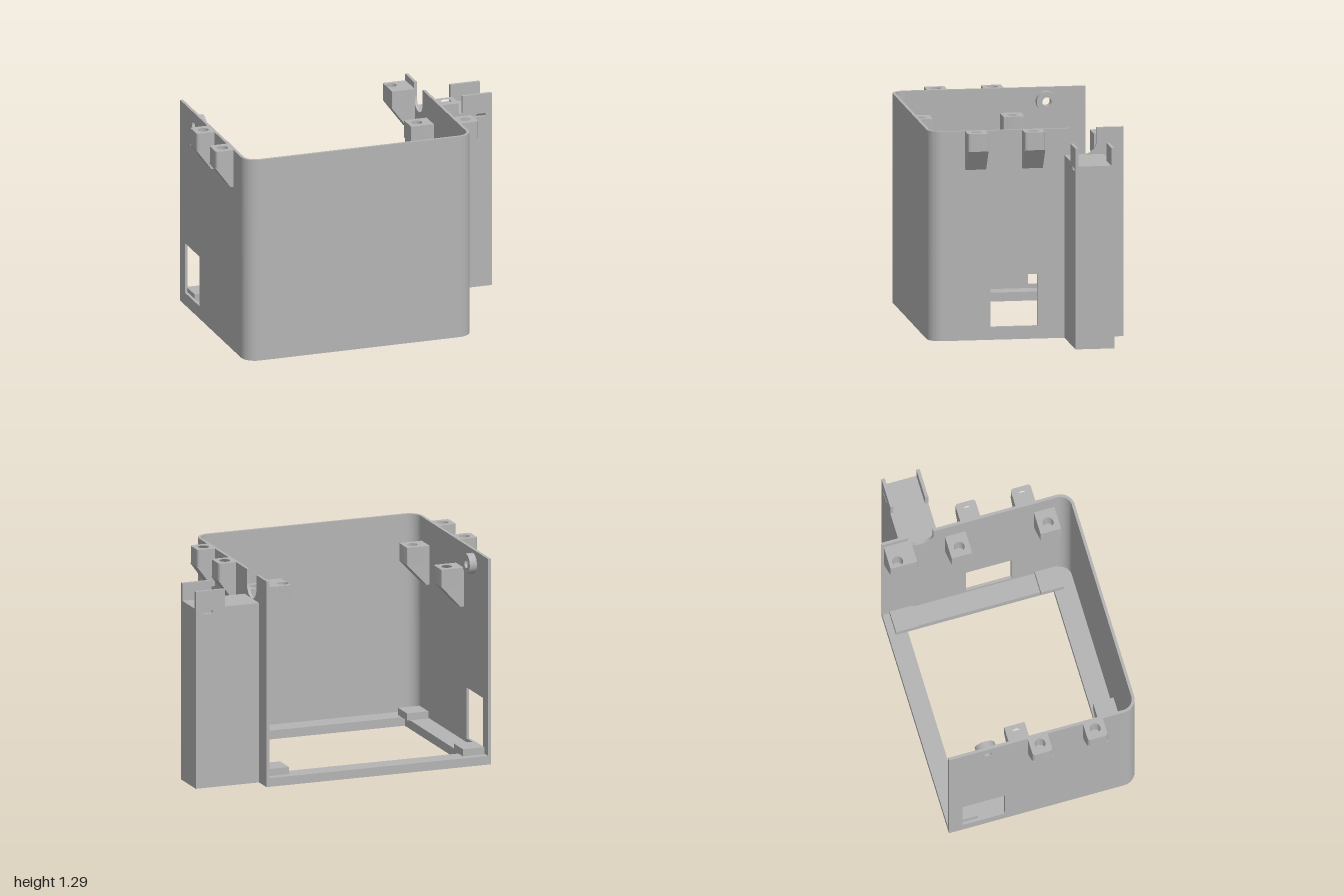
import * as THREE from 'three';
import { toCreasedNormals } from 'three/addons/utils/BufferGeometryUtils.js';

const X0 = -0.885, X1 = 0.585, CX = -0.15, ZB = 0.6, H = 1.295, T = 0.018, R = 0.09;
const BASE = 0.055;

export function createModel() {
  const model = new THREE.Group();
  model.name = 'enclosure';
  const grey = new THREE.MeshStandardMaterial({ color: 0xb4b4b4 });
  grey.name = 'plain grey plastic';

  const add = (name, geometry, parent = model) => {
    const mesh = new THREE.Mesh(toCreasedNormals(geometry, 0.5), grey);
    mesh.name = name;
    parent.add(mesh);
    return mesh;
  };
  const box = (name, x0, x1, y0, y1, z0, z1, parent) => {
    const g = new THREE.BoxGeometry(x1 - x0, y1 - y0, z1 - z0);
    g.translate((x0 + x1) / 2, (y0 + y1) / 2, (z0 + z1) / 2);
    return add(name, g, parent);
  };
  const extrude = (shape, depth) =>
    new THREE.ExtrudeGeometry(shape, { depth, bevelEnabled: false, curveSegments: 12 });
  // plan shape (x, -z) raised from y0 to y1
  const raise = (shape, y0, y1) => extrude(shape, y1 - y0).rotateX(-Math.PI / 2).translate(0, y0, 0);
  // side shape (z, y) with its outermost face at x
  const sidePanel = (shape, x, depth) => extrude(shape, depth).rotateY(-Math.PI / 2).translate(x, 0, 0);
  const poly = (pts) => new THREE.Shape(pts.map(([a, b]) => new THREE.Vector2(a, b)));
  const rect = (a0, a1, b0, b1) => poly([[a0, b0], [a1, b0], [a1, b1], [a0, b1]]);
  const circle = (a, b, r) => {
    const p = new THREE.Path();
    p.absarc(a, b, r, 0, Math.PI * 2, true);
    return p;
  };

  // Base frame with rounded front corners, central opening and screw holes
  const frame = new THREE.Shape();
  frame.moveTo(X0, ZB);
  frame.lineTo(X0, -ZB + R);
  frame.absarc(X0 + R, -ZB + R, R, Math.PI, Math.PI * 1.5, false);
  frame.lineTo(X1 - R, -ZB);
  frame.absarc(X1 - R, -ZB + R, R, Math.PI * 1.5, Math.PI * 2, false);
  frame.lineTo(X1, ZB);
  frame.closePath();
  frame.holes.push(rect(-0.74, 0.44, -0.45, 0.48));
  for (const s of [-1, 1]) {
    for (const z of [-0.485, 0.435]) {
      const x = CX + s * 0.64;
      frame.holes.push(circle(x, -z, 0.035));
      box('screwBlock', x - 0.07, x + 0.07, BASE, 0.1, z - 0.07, z + 0.075);
    }
  }
  add('baseFrame', raise(frame, 0, BASE));

  // Front wall wrapping around both corners
  const zc = -ZB + R;
  const front = new THREE.Shape();
  front.moveTo(X0, zc);
  front.absarc(X0 + R, zc, R, Math.PI, Math.PI * 1.5, false);
  front.lineTo(X1 - R, -ZB);
  front.absarc(X1 - R, zc, R, Math.PI * 1.5, Math.PI * 2, false);
  front.lineTo(X1 - T, zc);
  front.absarc(X1 - R, zc, R - T, 0, -Math.PI / 2, true);
  front.lineTo(X0 + R, -ZB + T);
  front.absarc(X0 + R, zc, R - T, -Math.PI / 2, -Math.PI, true);
  front.closePath();
  add('frontWall', raise(front, BASE, H));

  // Left-hand side wall with a U-shaped cable notch and a window
  const notchZ = -0.355, notchY = 1.21, notchR = 0.08;
  const notched = new THREE.Shape();
  notched.moveTo(-ZB, BASE);
  notched.lineTo(ZB - R, BASE);
  notched.lineTo(ZB - R, H);
  notched.lineTo(notchZ + notchR, H);
  notched.absarc(notchZ, notchY, notchR, 0, -Math.PI, true);
  notched.lineTo(notchZ - notchR, H);
  notched.lineTo(-ZB, H);
  notched.closePath();
  notched.holes.push(rect(-0.07, 0.22, 0.08, 0.4));
  add('notchedSideWall', sidePanel(notched, X1, T));

  // Opposite side wall with a window and a round hole, ringed on the inside
  const plain = rect(-ZB, ZB - R, BASE, H);
  plain.holes.push(rect(-0.515, -0.245, 0.08, 0.4), circle(notchZ, notchY, 0.028));
  add('windowSideWall', sidePanel(plain, X0 + T, T));
  const ring = new THREE.Shape();
  ring.absarc(notchZ, notchY, 0.063, 0, Math.PI * 2, false);
  ring.holes.push(circle(notchZ, notchY, 0.028));
  add('holeRing', sidePanel(ring, -0.82, 0.05));

  // Screw lug: drilled block over a tapered support, reaching from a wall at x in direction dir
  const lug = (name, x, dir, reach, z0, z1, top, block, drop, holeX, holeZ, r) => {
    const group = new THREE.Group();
    group.name = name;
    const e = x + dir * reach;
    const plan = new THREE.Shape();
    plan.moveTo(x, -z0);
    plan.lineTo(e - dir * r, -z0);
    plan.quadraticCurveTo(e, -z0, e, -z0 - r);
    plan.lineTo(e, -z1 + r);
    plan.quadraticCurveTo(e, -z1, e - dir * r, -z1);
    plan.lineTo(x, -z1);
    plan.closePath();
    plan.holes.push(circle(holeX, -holeZ, 0.033));
    add('drilledBlock', raise(plan, top - block, top), group);
    const y = top - block;
    const taper = poly([[x, y], [e, y], [x + dir * 0.02, top - drop], [x, top - drop]]);
    add('taperedSupport', extrude(taper, z1 - z0).translate(0, 0, z0), group);
    model.add(group);
  };
  for (const s of [-1, 1]) {
    const outer = CX + s * 0.735, inner = outer - s * T;
    for (const z of [-0.037, 0.313])
      lug('outerLug', outer, s, 0.113, z - 0.063, z + 0.063, H, 0.11, 0.237, CX + s * 0.785, z, 0.02);
    for (const z of [-0.137, 0.427])
      lug('innerLug', inner, -s, 0.147, z - 0.065, z + 0.065, 1.143, 0.11, 0.245, CX + s * 0.63, z, 0.003);
  }
  lug('backLug', X1 - T, -1, 0.147, -0.59, -0.42, 1.255, 0.11, 0.28, 0.455, -0.535, 0.003);

  // Hollow cable column beside the notch, with two slotted tabs on top
  const column = new THREE.Group();
  column.name = 'cableColumn';
  model.add(column);
  const zBack = -0.478, zFront = -0.237, W = 0.02, lidY = 1.13;
  const cheek = poly([[X1, 0], [1, 0], [1, 1.24], [0.81, 1.24], [0.81, lidY], [X1, lidY]]);
  cheek.holes.push(rect(0.89, 0.96, 1.095, 1.115));
  for (const z of [zBack, zFront - W])
    add('slottedCheek', extrude(cheek, W).translate(0, 0, z), column);
  box('columnEndWall', 1 - W, 1, 0, lidY, zBack + W, zFront - W, column);
  box('columnInnerWall', X1, X1 + 0.04, 0, lidY, zBack + W, zFront - W, column);
  box('columnLid', X1 + 0.04, 1 - W, lidY - 0.014, lidY, zBack + W, zFront - W, column);

  return model;
}
